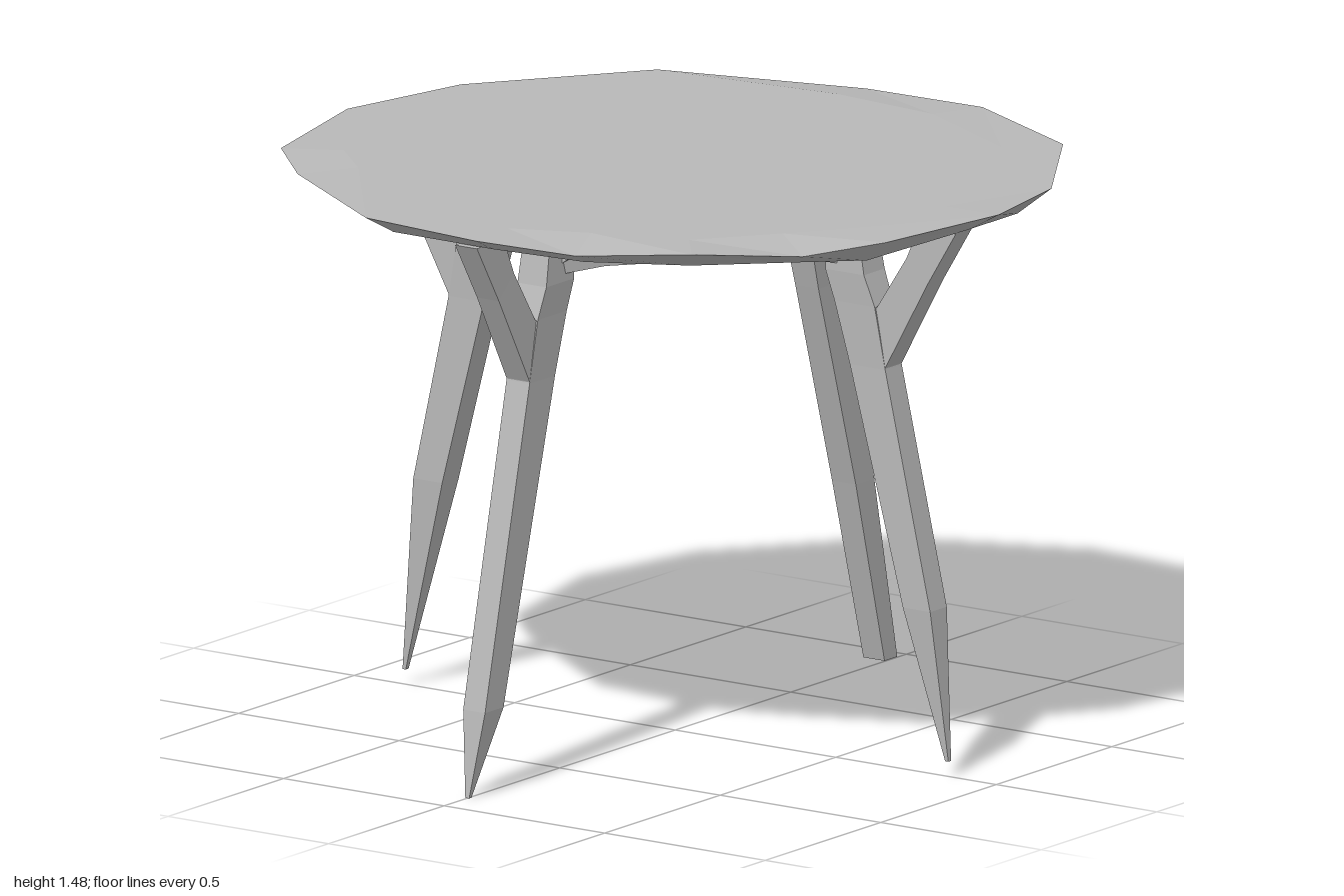
import * as THREE from 'three';

// Skin closed loops of points (all the same length) and cap both ends with fans.
function loft(loops) {
  const pos = [];
  const tri = (a, b, c) => pos.push(...a, ...b, ...c);
  const n = loops[0].length;
  const middle = (loop) => [0, 1, 2].map((k) => loop.reduce((s, p) => s + p[k], 0) / n);
  const first = loops[0], last = loops[loops.length - 1];
  const c0 = middle(first), c1 = middle(last);
  for (let i = 0; i < n; i++) {
    const j = (i + 1) % n;
    tri(c0, first[j], first[i]);
    tri(c1, last[i], last[j]);
    for (let s = 0; s < loops.length - 1; s++) {
      const a = loops[s], b = loops[s + 1];
      tri(a[i], a[j], b[j]);
      tri(a[i], b[j], b[i]);
    }
  }
  // Turn the faces outward when the enclosed volume comes out negative
  let volume = 0;
  const at = (i) => new THREE.Vector3(pos[i], pos[i + 1], pos[i + 2]);
  for (let i = 0; i < pos.length; i += 9) volume += at(i).dot(at(i + 3).cross(at(i + 6)));
  if (volume < 0) {
    for (let i = 0; i < pos.length; i += 9) {
      for (let k = 0; k < 3; k++) [pos[i + 3 + k], pos[i + 6 + k]] = [pos[i + 6 + k], pos[i + 3 + k]];
    }
  }
  const g = new THREE.BufferGeometry();
  g.setAttribute('position', new THREE.Float32BufferAttribute(pos, 3));
  g.computeVertexNormals();
  return g;
}

// Tabletop rim: x, z, edge height, underside height
const RIM = [
  [-0.03, -1.0, 1.48, 1.44], [0.35, -0.92, 1.48, 1.41], [0.77, -0.61, 1.48, 1.43],
  [0.98, -0.11, 1.46, 1.43], [0.94, 0.28, 1.475, 1.43], [0.72, 0.69, 1.48, 1.43],
  [0.35, 0.92, 1.47, 1.4], [0.01, 1.0, 1.48, 1.43], [-0.38, 0.93, 1.475, 1.41],
  [-0.56, 0.8, 1.455, 1.42], [-0.79, 0.62, 1.48, 1.43], [-0.89, 0.33, 1.455, 1.42],
  [-0.99, 0.09, 1.48, 1.44], [-0.95, -0.28, 1.48, 1.43], [-0.62, -0.73, 1.465, 1.42],
  [-0.47, -0.89, 1.48, 1.43],
];

// Each leg: direction and sections [height, outer radius, inner radius, half width]
const LEGS = [
  { name: 'leftLeg', dir: [1, 0], lower: [[0.5, 0.81, 0.73, 0.037], [0.015, 0.915, 0.86, 0.033]] },
  { name: 'frontLeg', dir: [0, 1], lower: [[0.43, 0.82, 0.735, 0.036], [0.04, 0.855, 0.845, 0.006]] },
  { name: 'rightLeg', dir: [-1, 0], lower: [[0.22, 0.87, 0.79, 0.034], [0, 0.9, 0.89, 0.006]] },
  { name: 'backLeg', dir: [0, -1], lower: [[0.55, 0.79, 0.7, 0.036], [0.04, 0.845, 0.835, 0.006]] },
];
const UPPER = [[1.44, 0.59, 0.5, 0.04], [1.28, 0.62, 0.5, 0.045], [1.2, 0.65, 0.525, 0.04], [1.04, 0.68, 0.57, 0.036]];

export function createModel() {
  const model = new THREE.Group();
  model.name = 'table';
  const grey = new THREE.MeshStandardMaterial({ color: 0xb8b8b8 });
  grey.name = 'plainGrey';
  grey.flatShading = true;
  const add = (name, loops, parent = model) => {
    const mesh = new THREE.Mesh(loft(loops), grey);
    mesh.name = name;
    parent.add(mesh);
  };
  // Point at radius r along a leg direction, shifted sideways by w
  const along = ([dx, dz], r, y, w) => [dx * r - dz * w, y, dz * r + dx * w];

  // Faceted top with a sharp, uneven rim
  add('tabletop', [
    RIM.map(([x, z, , low]) => [x * 0.91, low, z * 0.91]),
    RIM.map(([x, z, edge]) => [x, edge, z]),
    RIM.map(([x, z]) => [x * 0.84, 1.48, z * 0.84]),
  ]);

  LEGS.forEach(({ name, dir, lower }, i) => {
    const leg = new THREE.Group();
    leg.name = name;
    model.add(leg);
    const quad = (ro, yo, ri, yi, w) => [
      along(dir, ro, yo, -w), along(dir, ro, yo, w), along(dir, ri, yi, w), along(dir, ri, yi, -w),
    ];

    // Tapering post
    add(name + 'Post', [...UPPER, ...lower].map(([y, ro, ri, w]) => quad(ro, y, ri, y, w)), leg);

    // Branch reaching out to the rim
    add(name + 'Branch', [
      quad(0.675, 1.03, 0.6, 1.18, 0.034),
      quad(0.68, 1.045, 0.655, 1.2, 0.036),
      quad(0.81, 1.28, 0.745, 1.34, 0.034),
      quad(0.905, 1.435, 0.79, 1.44, 0.034),
    ], leg);

    // Apron rail running to the next leg
    const next = LEGS[(i + 1) % 4].dir;
    const rail = (t, r, y) => [(dir[0] * (1 - t) + next[0] * t) * r, y, (dir[1] * (1 - t) + next[1] * t) * r];
    add('apron', [[0, 1.29], [0.2, 1.315], [0.5, 1.32], [0.8, 1.315], [1, 1.29]].map(([t, low]) => [
      rail(t, 0.61, 1.44), rail(t, 0.58, low), rail(t, 0.51, low + 0.01), rail(t, 0.53, 1.44),
    ]));

    // Cross brace: diamond section, flared where it meets the leg
    add('crossBrace', [[0.55, 0.09, 1.42, 1.3], [0.4, 0.07, 1.4, 1.31], [0, 0.03, 1.37, 1.32]].map(([r, w, top, low]) => [
      along(dir, r, top, 0), along(dir, r, (top + low) / 2, w), along(dir, r, low, 0), along(dir, r, (top + low) / 2, -w),
    ]));
  });

  return model;
}
